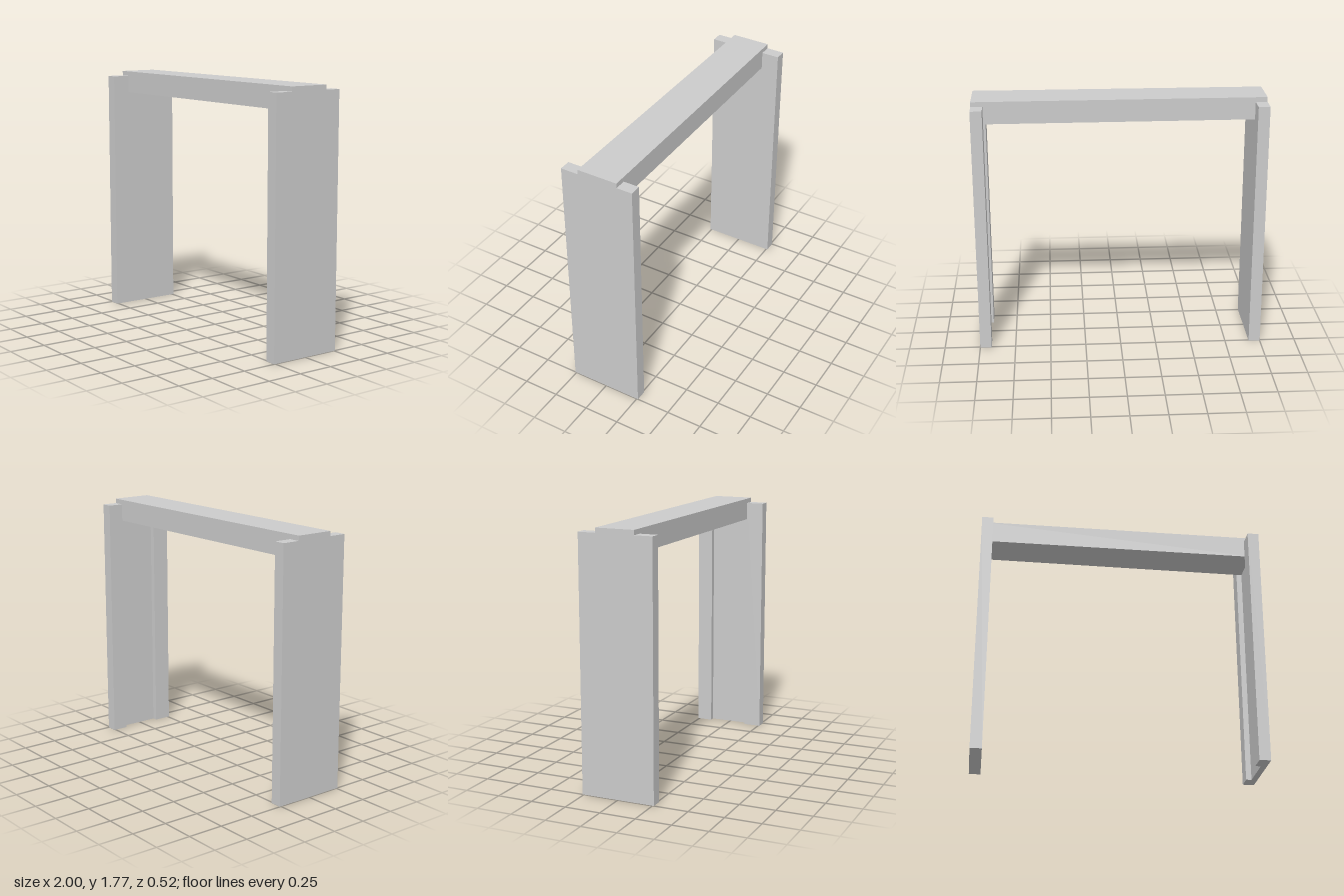
import * as THREE from 'three';

const material = new THREE.MeshStandardMaterial({ color: 0xcccccc, flatShading: true });

// Vertical prism from a plan outline of [x, z] points
function prism(name, plan, y0, y1) {
  const shape = new THREE.Shape(plan.map(([x, z]) => new THREE.Vector2(x, -z)));
  const geometry = new THREE.ExtrudeGeometry(shape, { depth: y1 - y0, bevelEnabled: false });
  geometry.rotateX(-Math.PI / 2).translate(0, y0, 0);
  const mesh = new THREE.Mesh(geometry, material);
  mesh.name = name;
  return mesh;
}

const rect = (x0, x1, z0, z1) => [[x0, z0], [x1, z0], [x1, z1], [x0, z1]];

const OUTER = 1, INNER = 0.92, DEPTH = 0.26;
const PANEL_TOP = 1.742, BEAM_BOTTOM = 1.62, BEAM_TOP = 1.775;
const FRONT = 0.135; // front edge of the beam and its notches

// Upright panel: two cheeks either side of the beam, joined by a web below it
function upright(name, side, back, webInner) {
  const group = new THREE.Group();
  group.name = name;
  const [a, b] = [side * INNER, side * OUTER];
  group.add(
    prism('frontCheek', rect(a, b, FRONT, DEPTH), 0, PANEL_TOP),
    prism('backCheek', rect(a, b, -DEPTH, back), 0, PANEL_TOP),
    prism('web', rect(side * webInner, b, back, FRONT), 0, BEAM_BOTTOM)
  );
  return group;
}

export function createModel() {
  const model = new THREE.Group();
  model.name = 'frame';

  // The left upright has a channel down its inner face; the right one is solid
  model.add(upright('leftUpright', 1, -0.15, 0.958));
  model.add(upright('rightUpright', -1, -0.135, INNER));

  // Slightly tapered beam let into the tops of the uprights
  const beamPlan = [[-OUTER, -0.135], [OUTER, -0.15], [OUTER, FRONT], [-OUTER, FRONT]];
  model.add(prism('beam', beamPlan, BEAM_BOTTOM, BEAM_TOP));

  return model;
}
